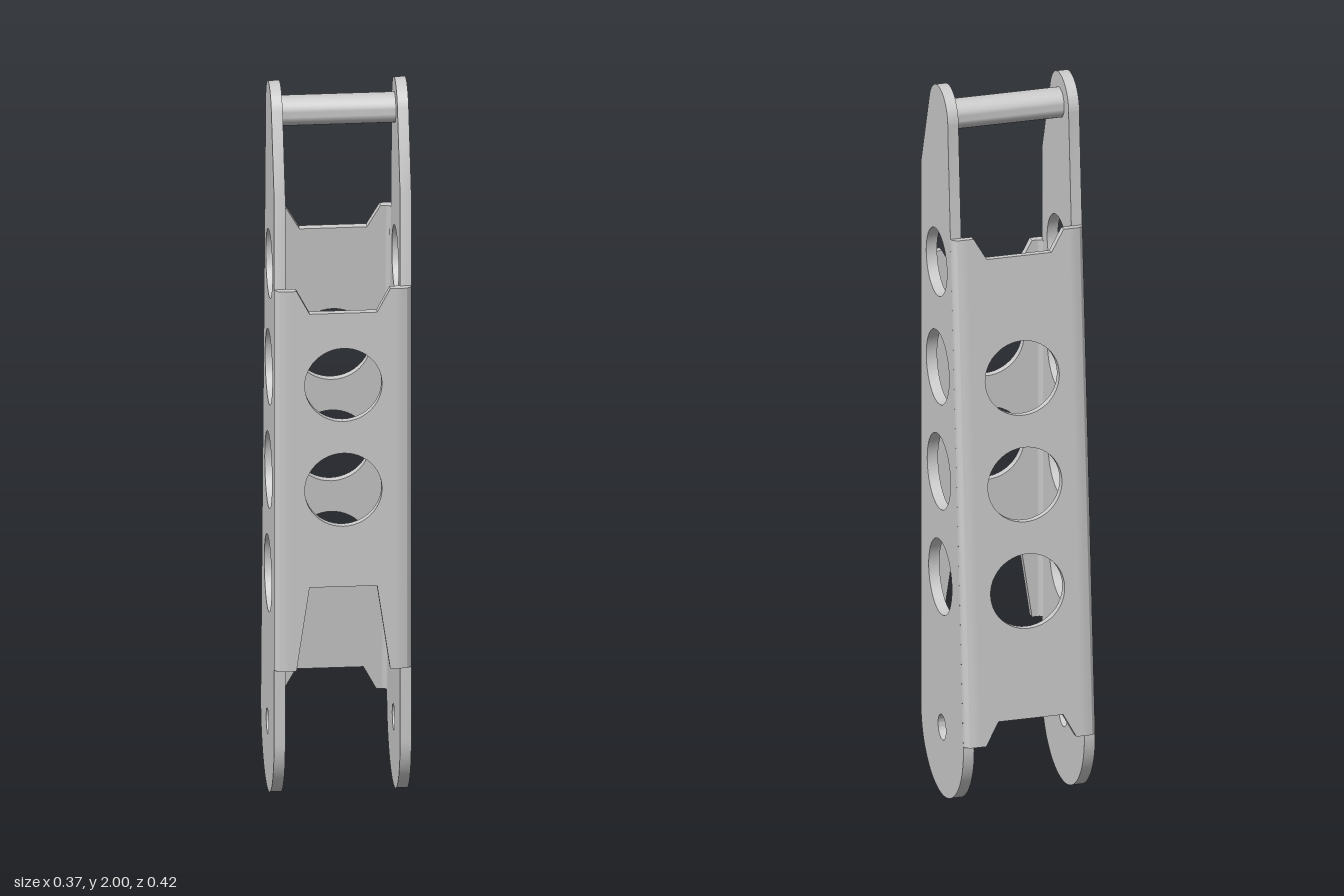
import * as THREE from 'three';
import { toCreasedNormals } from 'three/addons/utils/BufferGeometryUtils.js';

const material = new THREE.MeshStandardMaterial({ color: 0xcccccc });
const OUT = 0.183, IN = 0.153, SHEET = 0.022, FACE = 0.14;

function extrude(shape, depth) {
  return new THREE.ExtrudeGeometry(shape, { depth, bevelEnabled: false, curveSegments: 24 });
}

function part(name, geometry) {
  const mesh = new THREE.Mesh(toCreasedNormals(geometry, Math.PI / 6), material);
  mesh.name = name;
  return mesh;
}

function addHole(shape, x, y, r) {
  const hole = new THREE.Path();
  hole.absarc(x, y, r, 0, Math.PI * 2, true);
  shape.holes.push(hole);
}

// Tapered cheek with rounded ends, drawn in (z, y)
function sidePlate(name, outerX) {
  const s = new THREE.Shape();
  s.absarc(0, 0.19, 0.19, Math.PI, Math.PI * 2, false);
  s.lineTo(0.19, 1.73);
  s.absarc(0.035, 1.915, 0.085, 0.365, Math.PI * 1.025, false);
  s.lineTo(-0.073, 1.61);
  s.closePath();
  [[0.05, 1.495, 0.093], [0.04, 1.2, 0.102], [0.03, 0.907, 0.104], [0.017, 0.612, 0.104], [0.002, 0.19, 0.035]]
    .forEach(([z, y, r]) => addHole(s, z, y, r));
  return part(name, extrude(s, OUT - IN).rotateY(-Math.PI / 2).translate(outerX, 0, 0));
}

// Notched sheet with bent long edges; outer surface on local z = 0, bottom at y = 0
function panel(name, height, bottomNotch, topNotch, holes) {
  const group = new THREE.Group();
  group.name = name;

  const low = [[-FACE, 0], [-0.125, 0], [-0.09, bottomNotch], [0.09, bottomNotch], [0.125, 0], [FACE, 0]];
  const high = [[FACE, height], [0.125, height], [0.09, height - topNotch],
    [-0.09, height - topNotch], [-0.125, height], [-FACE, height]];
  const s = new THREE.Shape([...low, ...high].map(([x, y]) => new THREE.Vector2(x, y)));
  holes.forEach((y) => addHole(s, 0, y, 0.103));
  group.add(part(name + 'Sheet', extrude(s, SHEET).translate(0, 0, -SHEET)));

  // Rounded corner strips, drawn in (x, depth)
  for (const side of [1, -1]) {
    const b = new THREE.Shape();
    b.moveTo(side * FACE, 0);
    b.lineTo(side * (OUT - 0.022), 0);
    b.bezierCurveTo(side * (OUT - 0.01), 0, side * OUT, 0.01, side * OUT, 0.022);
    b.lineTo(side * OUT, 0.035);
    b.lineTo(side * IN, 0.035);
    b.quadraticCurveTo(side * IN, SHEET, side * FACE, SHEET);
    b.closePath();
    group.add(part(name + (side > 0 ? 'BendA' : 'BendB'), extrude(b, height).rotateX(-Math.PI / 2)));
  }
  return group;
}

export function createModel() {
  const model = new THREE.Group();
  model.name = 'linkArm';

  model.add(sidePlate('leftPlate', OUT), sidePlate('rightPlate', -IN));

  const front = panel('frontPanel', 1.07, 0.235, 0.065, [0.803, 0.508]);
  front.position.set(0, 0.4, 0.21);
  model.add(front);

  // Back panel leans forward along the taper
  const back = panel('backPanel', 1.405, 0.065, 0.06, [1.007, 0.712, 0.417]);
  back.position.set(0, 0.205, -0.209);
  back.rotation.set(Math.atan(0.0815), Math.PI, 0);
  model.add(back);

  // Cross pin between the upper ends
  const pin = part('topPin', new THREE.CylinderGeometry(0.041, 0.041, IN * 2, 32).rotateZ(Math.PI / 2));
  pin.position.set(0, 1.918, 0.031);
  model.add(pin);

  return model;
}
